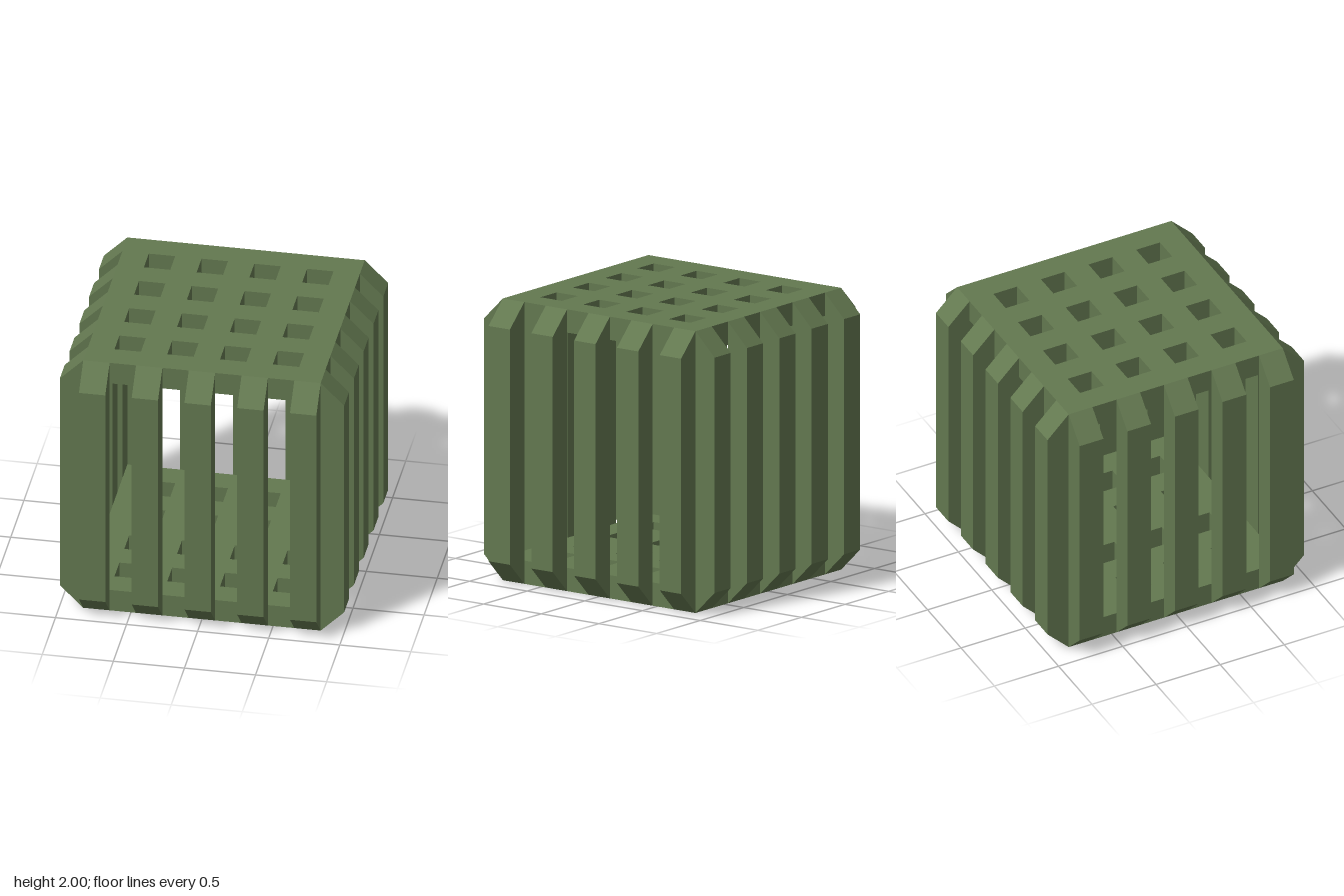
import * as THREE from 'three';

const EDGE = 0.835;            // half width of the plates
const BAR = (EDGE * 2) / 9;    // bar width, equal to the gap width
const THICK = 0.165;

const green = new THREE.MeshStandardMaterial({ color: 0x637850 });
green.name = 'olive green';

// Square plate with a 4 x 4 grid of square holes, lying flat from y = 0 up
function plateGeometry() {
  const square = (T, x, y, h) => new T([
    new THREE.Vector2(x - h, y - h), new THREE.Vector2(x + h, y - h),
    new THREE.Vector2(x + h, y + h), new THREE.Vector2(x - h, y + h),
  ]);
  const shape = square(THREE.Shape, 0, 0, EDGE);
  for (let i = 0; i < 4; i++) {
    for (let j = 0; j < 4; j++) {
      shape.holes.push(square(THREE.Path, (i - 1.5) * 2 * BAR, (j - 1.5) * 2 * BAR, BAR / 2));
    }
  }
  const geo = new THREE.ExtrudeGeometry(shape, { depth: THICK, bevelEnabled: false });
  return geo.rotateX(-Math.PI / 2);
}

// Upright bar with chamfered outer ends, standing on the +x side
function barGeometry() {
  const shape = new THREE.Shape([
    new THREE.Vector2(EDGE, 0), new THREE.Vector2(1, THICK),
    new THREE.Vector2(1, 2 - THICK), new THREE.Vector2(EDGE, 2),
  ]);
  const geo = new THREE.ExtrudeGeometry(shape, { depth: BAR, bevelEnabled: false });
  return geo.translate(0, 0, -BAR / 2);
}

export function createModel() {
  const model = new THREE.Group();
  model.name = 'slattedCrate';

  // Top and bottom lattice plates
  const plate = plateGeometry();
  for (const [name, y] of [['bottomPlate', 0], ['topPlate', 2 - THICK]]) {
    const mesh = new THREE.Mesh(plate, green);
    mesh.name = name;
    mesh.position.y = y;
    model.add(mesh);
  }

  // Five upright bars on each of the four sides
  const bar = barGeometry();
  ['leftBars', 'backBars', 'rightBars', 'frontBars'].forEach((name, k) => {
    const side = new THREE.Group();
    side.name = name;
    side.rotation.y = (k * Math.PI) / 2;
    for (let i = -2; i <= 2; i++) {
      const mesh = new THREE.Mesh(bar, green);
      mesh.name = 'bar';
      mesh.position.z = i * 2 * BAR;
      side.add(mesh);
    }
    model.add(side);
  });

  return model;
}
